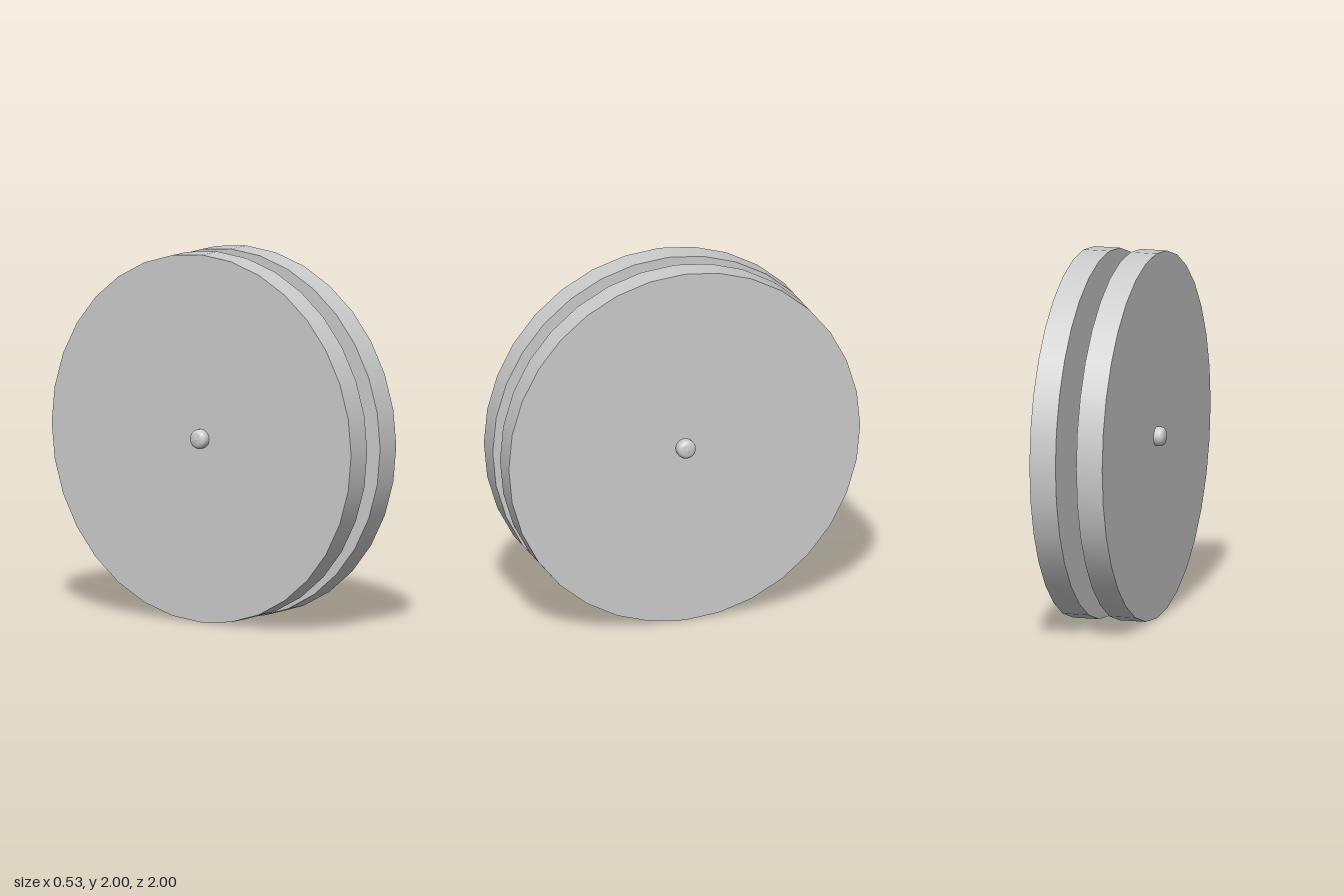
import * as THREE from 'three';

export function createModel() {
  const group = new THREE.Group();
  const grey = new THREE.MeshStandardMaterial({ color: 0xcccccc });
  grey.name = 'light grey';

  // Adds a part whose own y axis lies along x
  const add = (name, geometry, x, turn = -Math.PI / 2) => {
    const mesh = new THREE.Mesh(geometry, grey);
    mesh.name = name;
    mesh.rotation.z = turn;
    mesh.position.set(x, 1, 0);
    group.add(mesh);
  };

  // Two thick discs
  const disc = new THREE.CylinderGeometry(1, 1, 0.146, 32);
  add('leftDisc', disc, 0.125);
  add('rightDisc', disc, -0.138);

  // Axle joining the discs
  add('axle', new THREE.CylinderGeometry(0.04, 0.04, 0.42, 16), -0.005);

  // Rounded end caps: straight side, then a soft shoulder to a nearly flat end
  const profile = [new THREE.Vector2(0.047, -0.012), new THREE.Vector2(0.052, 0.006)];
  for (let i = 0; i <= 6; i++) {
    const a = (i / 6) * Math.PI / 2;
    profile.push(new THREE.Vector2(0.024 + 0.029 * Math.cos(a), 0.03 + 0.029 * Math.sin(a)));
  }
  profile.push(new THREE.Vector2(0, 0.063));
  const cap = new THREE.LatheGeometry(profile, 24);
  add('leftCap', cap, 0.197);
  add('rightCap', cap, -0.203, Math.PI / 2);

  return group;
}
